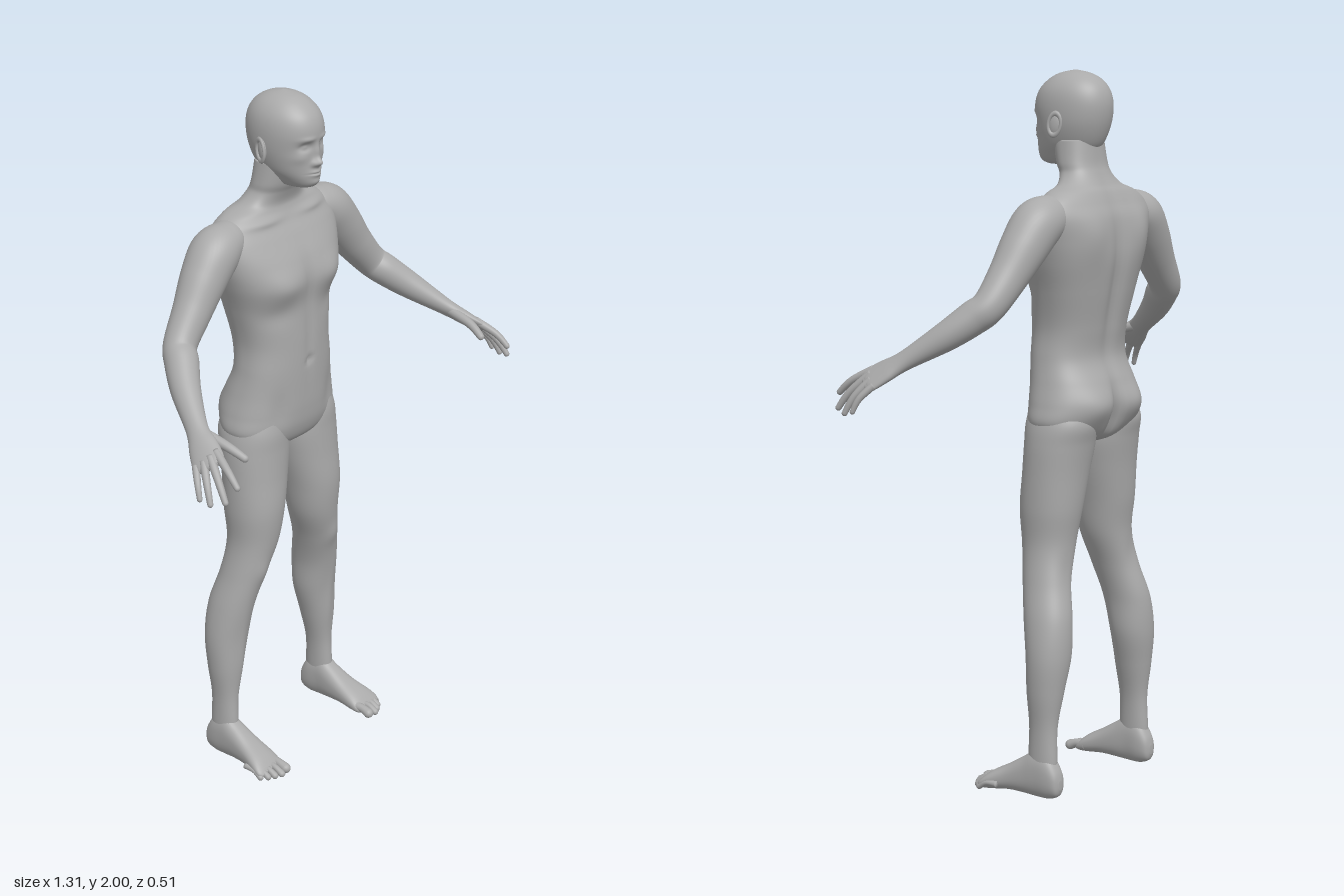
import * as THREE from 'three';
import { mergeGeometries } from 'three/addons/utils/BufferGeometryUtils.js';

const V = (x, y, z) => new THREE.Vector3(x, y, z);

// Catmull-Rom through rows of numbers, t in 0..1
function sample(rows, t) {
  const n = rows.length - 1, s = Math.min(t * n, n - 1e-6), i = Math.floor(s), u = s - i;
  const a = rows[Math.max(i - 1, 0)], b = rows[i], c = rows[i + 1], d = rows[Math.min(i + 2, n)];
  return b.map((_, k) => 0.5 * (2 * b[k] + (c[k] - a[k]) * u
    + (2 * a[k] - 5 * b[k] + 4 * c[k] - d[k]) * u * u
    + (3 * b[k] - a[k] - 3 * c[k] + d[k]) * u * u * u));
}

// Smooth closed skin over a stack of equal rings
function skin(rings) {
  const n = rings[0].length, last = rings.length - 1, pos = [], idx = [];
  rings.forEach(r => r.forEach(p => pos.push(p.x, p.y, p.z)));
  for (let i = 0; i < last; i++) for (let j = 0; j < n; j++) {
    const a = i * n + j, b = i * n + (j + 1) % n;
    idx.push(a, a + n, b, b, a + n, b + n);
  }
  [0, last].forEach((r, end) => {
    const c = rings[r].reduce((s, p) => s.add(p), V(0, 0, 0)).divideScalar(n);
    const k = pos.length / 3;
    pos.push(c.x, c.y, c.z);
    for (let j = 0; j < n; j++) {
      const a = r * n + j, b = r * n + (j + 1) % n;
      idx.push(k, end ? b : a, end ? a : b);
    }
  });
  const g = new THREE.BufferGeometry();
  g.setAttribute('position', new THREE.Float32BufferAttribute(pos, 3));
  g.setIndex(idx);
  g.computeVertexNormals();
  return g;
}

// Upright form from sections [y, centreX, halfWidth, frontZ, backZ];
// bumps are [side, x, y, height, spreadX, spreadY], mirrored in x
function column(sections, rows, n, power, bumps = []) {
  const rings = [];
  const pw = v => Math.sign(v) * Math.abs(v) ** power;
  for (let i = 0; i <= rows; i++) {
    const [y, cx, w, f, k] = sample(sections, i / rows), ring = [];
    for (let j = 0; j < n; j++) {
      const a = j / n * Math.PI * 2, s = Math.sin(a);
      const x = cx + w * pw(Math.cos(a));
      let z = (f + k) / 2 + (f - k) / 2 * pw(s);
      for (const [side, bx, by, h, sx, sy] of bumps) {
        if (side * s <= 0) continue;
        const e = ((Math.abs(x) - bx) / sx) ** 2 + ((y - by) / sy) ** 2;
        z += side * h * Math.exp(-e) * Math.min(1, Math.abs(s) * 2);
      }
      ring.push(V(x, y, z));
    }
    rings.push(ring);
  }
  return skin(rings);
}

// Limb along rows [x, y, z, radiusAcross, radiusThick] with a rounded tip
function limb(rows, steps, n, across) {
  const rings = [];
  const add = (c, t, ru, rv) => {
    const u = across.clone().addScaledVector(t, -across.dot(t)).normalize();
    const v = u.clone().cross(t), ring = [];
    for (let j = 0; j < n; j++) {
      const a = j / n * Math.PI * 2;
      ring.push(c.clone().addScaledVector(u, ru * Math.cos(a)).addScaledVector(v, rv * Math.sin(a)));
    }
    rings.push(ring);
  };
  let c, t, r;
  for (let i = 0; i <= steps; i++) {
    r = sample(rows, i / steps);
    c = V(r[0], r[1], r[2]);
    const p = sample(rows, Math.max(0, i / steps - 0.01)), q = sample(rows, Math.min(1, i / steps + 0.01));
    t = V(q[0] - p[0], q[1] - p[1], q[2] - p[2]).normalize();
    add(c, t, r[3], r[4]);
  }
  for (let k = 1; k <= 5; k++) {
    const a = k / 5 * 1.45;
    add(c.clone().addScaledVector(t, r[4] * Math.sin(a)), t, r[3] * Math.cos(a), r[4] * Math.cos(a));
  }
  return skin(rings);
}

// Reflection in x with the winding restored
function mirrored(geo) {
  const g = geo.clone().scale(-1, 1, 1), ix = g.index.array;
  for (let i = 0; i < ix.length; i += 3) [ix[i], ix[i + 1]] = [ix[i + 1], ix[i]];
  g.computeVertexNormals();
  return g;
}

export function createModel() {
  const model = new THREE.Group();
  model.name = 'standingFigure';
  const clay = new THREE.MeshStandardMaterial({ color: 0xaaaaaa });
  clay.name = 'greyClay';
  const add = (name, geo) => {
    const m = new THREE.Mesh(geo, clay);
    m.name = name;
    model.add(m);
  };
  const pair = (name, geo) => {
    add('left' + name, geo);
    add('right' + name, mirrored(geo));
  };

  // Torso and neck, from crotch to under the skull
  add('torso', column([
    [0.966, 0, 0.01, -0.10, -0.13], [0.978, 0, 0.09, -0.065, -0.18], [1.0, 0, 0.165, -0.038, -0.215],
    [1.04, 0, 0.197, -0.022, -0.238], [1.09, 0, 0.19, -0.015, -0.25], [1.15, 0, 0.175, -0.012, -0.238],
    [1.22, 0, 0.161, -0.01, -0.215], [1.3, 0, 0.155, -0.01, -0.225], [1.4, 0, 0.176, -0.012, -0.245],
    [1.48, 0, 0.203, -0.004, -0.258], [1.54, 0, 0.222, -0.018, -0.258], [1.6, 0, 0.236, -0.05, -0.25],
    [1.64, 0, 0.22, -0.075, -0.234], [1.67, 0, 0.175, -0.088, -0.22], [1.69, 0, 0.118, -0.09, -0.207],
    [1.72, 0, 0.087, -0.08, -0.192], [1.75, 0, 0.082, -0.066, -0.182], [1.81, 0, 0.075, -0.05, -0.175],
  ], 150, 96, 0.87, [
    [1, 0.1, 1.475, 0.014, 0.06, 0.045],     // chest
    [1, 0, 1.48, -0.006, 0.02, 0.08],        // breastbone
    [1, 0.1, 1.65, 0.008, 0.06, 0.012],      // collarbones
    [1, 0, 1.3, -0.005, 0.014, 0.1],         // belly line
    [1, 0.11, 1.39, -0.005, 0.05, 0.03],     // under the ribs
    [1, 0, 1.235, -0.008, 0.011, 0.011],     // navel
    [1, 0.11, 1.1, -0.006, 0.03, 0.06],      // groin
    [-1, 0, 1.42, -0.016, 0.026, 0.2],       // spine
    [-1, 0.11, 1.56, 0.012, 0.05, 0.07],     // shoulder blades
    [-1, 0.09, 1.085, 0.018, 0.06, 0.055],   // buttocks
    [-1, 0, 1.05, -0.03, 0.016, 0.075],      // cleft
  ]));

  // Head with face
  add('head', column([
    [1.742, 0, 0.02, -0.02, -0.09], [1.75, 0, 0.038, 0.002, -0.13], [1.77, 0, 0.055, 0.012, -0.155],
    [1.8, 0, 0.073, 0.012, -0.183], [1.85, 0, 0.087, 0.012, -0.204], [1.9, 0, 0.09, 0.018, -0.212],
    [1.94, 0, 0.083, 0.008, -0.205], [1.97, 0, 0.065, -0.018, -0.184], [1.99, 0, 0.038, -0.052, -0.15],
    [2.0, 0, 0.004, -0.098, -0.106],
  ], 140, 128, 0.96, [
    [1, 0, 1.82, 0.02, 0.011, 0.013],        // nose tip
    [1, 0.013, 1.817, 0.007, 0.007, 0.008],  // nostrils
    [1, 0, 1.848, 0.01, 0.009, 0.022],       // nose bridge
    [1, 0.034, 1.866, -0.012, 0.017, 0.011], // eye sockets
    [1, 0.034, 1.865, 0.006, 0.009, 0.006],  // eyelids
    [1, 0.032, 1.887, 0.004, 0.022, 0.007],  // brows
    [1, 0.05, 1.835, 0.004, 0.018, 0.015],   // cheekbones
    [1, 0, 1.789, 0.01, 0.02, 0.011],        // lips
    [1, 0, 1.789, -0.006, 0.021, 0.0025],    // mouth line
    [1, 0, 1.763, 0.006, 0.02, 0.012],       // chin
  ]));

  // Ears: shell and rim
  const shell = new THREE.SphereGeometry(1, 20, 14).scale(0.008, 0.03, 0.017);
  const rim = new THREE.TorusGeometry(0.018, 0.0045, 8, 28).scale(1, 1.65, 1).rotateY(Math.PI / 2).translate(0.006, 0, 0);
  pair('Ear', mergeGeometries([shell, rim]).rotateX(-0.15).rotateY(0.3).translate(0.092, 1.853, -0.1));

  // Legs
  pair('Leg', column([
    [0.05, 0.22, 0.026, -0.12, -0.195], [0.1, 0.22, 0.029, -0.11, -0.2], [0.2, 0.217, 0.033, -0.113, -0.197],
    [0.3, 0.211, 0.05, -0.105, -0.21], [0.4, 0.2, 0.064, -0.098, -0.222], [0.5, 0.188, 0.062, -0.08, -0.218],
    [0.6, 0.162, 0.062, -0.057, -0.195], [0.7, 0.134, 0.072, -0.037, -0.187], [0.8, 0.125, 0.085, -0.026, -0.2],
    [0.9, 0.113, 0.096, -0.03, -0.21], [0.98, 0.105, 0.101, -0.032, -0.222], [1.04, 0.105, 0.091, -0.033, -0.232],
    [1.1, 0.1, 0.07, -0.045, -0.21],
  ], 100, 48, 0.95, [
    [1, 0.16, 0.61, 0.006, 0.025, 0.035],    // kneecap
    [-1, 0.155, 0.63, -0.005, 0.025, 0.05],  // knee hollow
    [1, 0.2, 0.36, 0.004, 0.015, 0.12],      // shin
  ]));

  // Feet, built along z: [z, centreX, halfWidth, -bottom, -top]
  pair('Foot', column([
    [-0.217, 0.22, 0.008, -0.03, -0.055], [-0.208, 0.22, 0.024, -0.01, -0.085], [-0.18, 0.22, 0.032, 0, -0.125],
    [-0.14, 0.221, 0.034, 0, -0.135], [-0.1, 0.221, 0.037, -0.003, -0.112], [-0.05, 0.223, 0.042, -0.005, -0.082],
    [0, 0.228, 0.05, -0.001, -0.056], [0.025, 0.231, 0.05, -0.002, -0.036], [0.036, 0.231, 0.04, -0.008, -0.024],
  ], 50, 40, 0.85).rotateX(Math.PI / 2));
  // Toes: [x, tipZ, radius]
  [[0.196, 0.058, 0.015], [0.221, 0.064, 0.0105], [0.241, 0.055, 0.01], [0.259, 0.044, 0.0095], [0.274, 0.028, 0.009]]
    .forEach(([x, z, r], i) => pair('Toe' + (i + 1), limb([
      [x - 0.003, 0.025, z - 0.06, r, r], [x, 0.024, z - 0.025, r * 0.85, r * 0.85], [x, r + 0.001, z, r, r],
    ], 10, 14, V(1, 0, 0))));

  // Arms down to the knuckles
  const across = V(0.045, -0.04, -0.06).normalize();
  pair('Arm', limb([
    [0.15, 1.61, -0.15, 0.05, 0.05], [0.19, 1.607, -0.15, 0.064, 0.06], [0.238, 1.587, -0.148, 0.07, 0.07],
    [0.29, 1.53, -0.143, 0.064, 0.066], [0.345, 1.46, -0.135, 0.054, 0.056], [0.41, 1.385, -0.122, 0.046, 0.047],
    [0.44, 1.352, -0.09, 0.047, 0.046], [0.487, 1.303, -0.034, 0.041, 0.039], [0.545, 1.24, 0.055, 0.031, 0.024],
    [0.572, 1.211, 0.1, 0.041, 0.019], [0.593, 1.188, 0.135, 0.046, 0.015], [0.599, 1.181, 0.145, 0.042, 0.012],
  ], 110, 40, across));

  // Fingers: knuckle, tip, radius
  const fingers = {
    Thumb: [[0.54, 1.228, 0.09], [0.523, 1.19, 0.2], 0.013],
    IndexFinger: [[0.575, 1.203, 0.155], [0.6, 1.146, 0.24], 0.0105],
    MiddleFinger: [[0.592, 1.19, 0.148], [0.626, 1.108, 0.222], 0.0105],
    RingFinger: [[0.606, 1.177, 0.134], [0.643, 1.098, 0.185], 0.01],
    LittleFinger: [[0.617, 1.166, 0.115], [0.648, 1.105, 0.153], 0.009],
  };
  for (const [name, [a, b, r]] of Object.entries(fingers)) {
    const at = (t, lift, s) => [...a.map((v, k) => v + (b[k] - v) * t + [0.5, 0.8, 0.3][k] * lift), r * s, r * s];
    pair(name, limb([at(-0.15, 0, 1.15), at(0.2, 0.005, 1.1), at(0.5, 0.008, 1), at(0.75, 0.006, 0.92), at(1, 0, 0.8)],
      20, 14, across));
  }
  return model;
}
